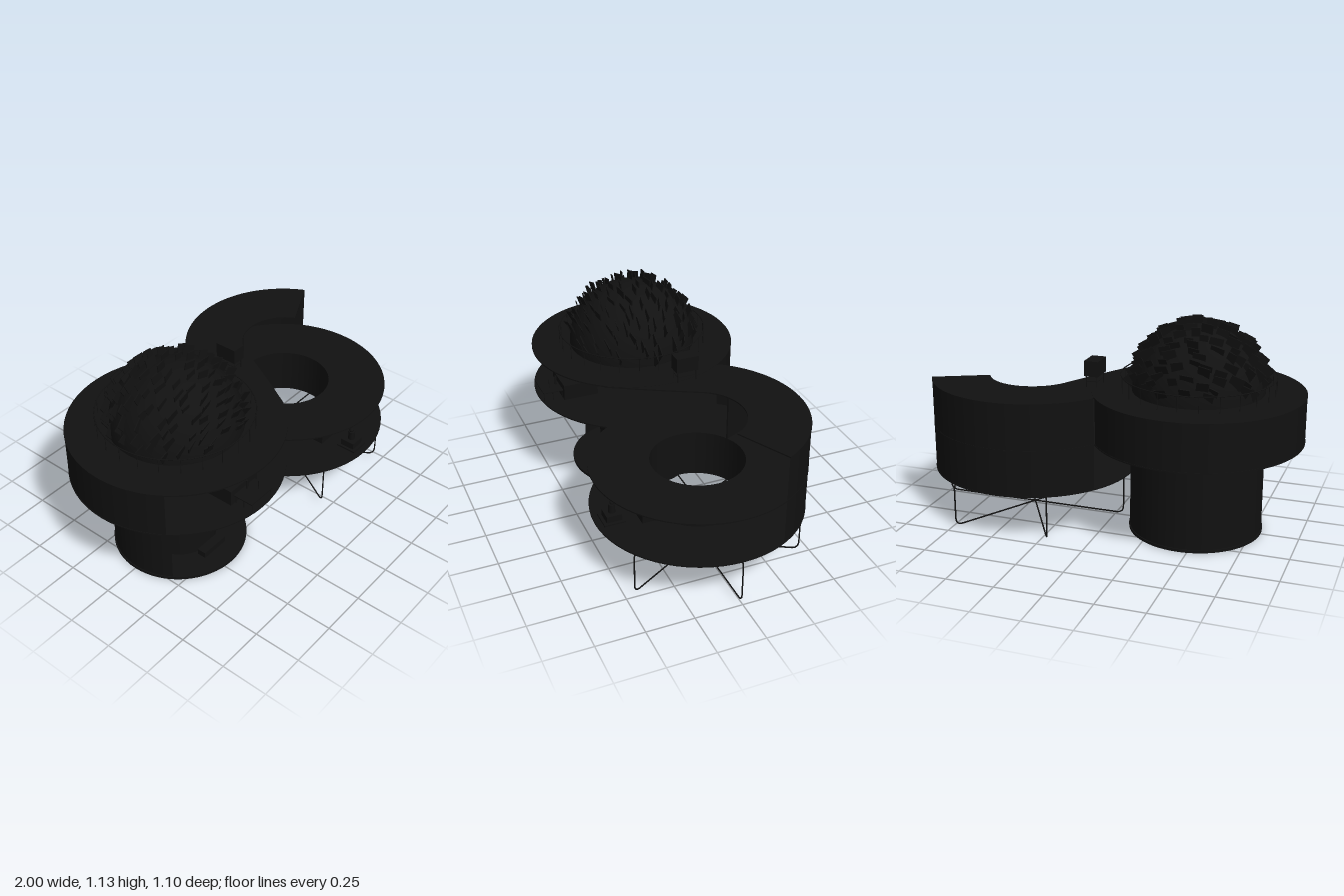
import * as THREE from 'three';

const dark = new THREE.MeshStandardMaterial({ color: 0x111111, side: THREE.DoubleSide });
const DEG = Math.PI / 180;
const R = 0.548, CX = 0.45, HOLE = 0.24;

export function createModel() {
  const model = new THREE.Group();

  function add(name, geometry, x = 0, y = 0, z = 0, parent = model) {
    const mesh = new THREE.Mesh(geometry, dark);
    mesh.name = name;
    mesh.position.set(x, y, z);
    parent.add(mesh);
    return mesh;
  }
  const box = (name, w, h, d, x, y, z, parent) =>
    add(name, new THREE.BoxGeometry(w, h, d), x, y, z, parent);
  const rod = (name, r, h, x, y, z, parent) =>
    add(name, new THREE.CylinderGeometry(r, r, h, 12), x, y, z, parent);

  // Flat slab from a plan outline (outline y points to the back), top at the given height
  function slab(name, shape, top, thick = 0.007) {
    const g = new THREE.ExtrudeGeometry(shape, { depth: thick, bevelEnabled: false, curveSegments: 32 });
    g.rotateX(-Math.PI / 2);
    return add(name, g, 0, top - thick, 0);
  }
  function disc(cx, r, hole) {
    const s = new THREE.Shape().absarc(cx, 0, r, 0, Math.PI * 2);
    if (hole) s.holes.push(new THREE.Path().absarc(cx, 0, hole, 0, Math.PI * 2, true));
    return s;
  }
  // Thin curved wall; angles in degrees from the front, turning towards +x
  function curvedWall(name, cx, r, y0, y1, a0 = 0, a1 = 360) {
    const g = new THREE.CylinderGeometry(r, r, y1 - y0, 32, 1, true, a0 * DEG, (a1 - a0) * DEG);
    return add(name, g, cx, (y0 + y1) / 2, 0);
  }

  // Floors
  slab('groundFloor', disc(-CX, 0.35), 0.015, 0.015);
  slab('lowerRingFloor', disc(CX, R, HOLE), 0.263);
  slab('middleRingFloor', disc(CX, R, HOLE), 0.505);
  slab('middleRoundFloor', disc(-CX, R), 0.505);

  // Roofs: full disc on one side, a swept ring sector on the other
  slab('roundRoof', disc(-CX, R), 0.748);
  const sweep = new THREE.Shape();
  sweep.absarc(CX, 0, R, 26 * DEG, 144 * DEG, false);
  sweep.lineTo(0, -0.32);
  sweep.quadraticCurveTo(0.13, -0.1, CX + HOLE * Math.cos(150 * DEG), HOLE * Math.sin(150 * DEG));
  sweep.absarc(CX, 0, HOLE, 150 * DEG, 26 * DEG, true);
  slab('sweptRoof', sweep, 0.747);

  // Walls, open towards the front
  curvedWall('ringBackWall', CX, R - 0.002, 0.257, 0.745, 116, 235);
  curvedWall('roundBackWall', -CX, R - 0.002, 0.499, 0.745, 125, 306);
  curvedWall('columnWall', -CX, 0.345, 0, 0.5, 55, 305);
  curvedWall('columnCore', -CX, 0.19, 0.01, 0.5);
  curvedWall('courtWall', CX, HOLE, 0.258, 0.5);
  const partition = box('partition', 0.008, 0.24, 0.29, 0.28, 0.62, -0.345);
  partition.rotation.y = 24 * DEG;

  // Three crossed rounded frames that carry the ring
  const w = 0.518, y0 = 0.012, y1 = 0.254, c = 0.04;
  const corners = [[-w, y0], [w, y0], [w, y1], [-w, y1]];
  const path = new THREE.CurvePath();
  const pts = [];
  corners.forEach(([x, y], i) => {
    const sx = Math.sign(x), sy = y === y0 ? -1 : 1;
    const alongX = new THREE.Vector3(x - sx * c, y, 0), alongY = new THREE.Vector3(x, y - sy * c, 0);
    const [a, b] = i % 2 ? [alongX, alongY] : [alongY, alongX];
    pts.push([a, new THREE.Vector3(x, y, 0), b]);
  });
  pts.forEach(([a, corner, b], i) => {
    path.add(new THREE.QuadraticBezierCurve3(a, corner, b));
    path.add(new THREE.LineCurve3(b, pts[(i + 1) % 4][0]));
  });
  const frame = new THREE.TubeGeometry(path, 160, 0.004, 6, true);
  for (let i = 0; i < 3; i++) add('legFrame', frame, 0.47, 0, 0).rotation.y = i * 60 * DEG;

  // Planted dome
  const domeR = 0.34, domeY = 0.745;
  add('dome', new THREE.SphereGeometry(domeR, 40, 16, 0, Math.PI * 2, 0, Math.PI / 2), -CX, domeY, 0);
  let seed = 7;
  const rand = () => (seed = (seed * 16807) % 2147483647) / 2147483647;
  const plants = new THREE.Group();
  plants.name = 'domePlants';
  model.add(plants);
  const count = 150;
  for (let i = 0; i < count; i++) {
    const up = 0.12 + 0.87 * (i + 0.5) / count;
    const a = i * 2.39996 + rand() * 0.3;
    const s = Math.sqrt(1 - up * up);
    const n = new THREE.Vector3(s * Math.cos(a), up, s * Math.sin(a));
    const leaf = box('leafPlate', 0.04 + rand() * 0.03, 0.05 + rand() * 0.05, 0.005,
      -CX + n.x * domeR, domeY + n.y * domeR, n.z * domeR, plants);
    leaf.rotation.set(n.z * 0.45 + (rand() - 0.5) * 0.15, (rand() - 0.5) * 0.5, -n.x * 0.7);
  }

  // Railing round the dome
  const railR = 0.395;
  add('domeRail', new THREE.TorusGeometry(railR, 0.003, 6, 48), -CX, 0.829, 0).rotation.x = Math.PI / 2;
  for (let i = 0; i < 24; i++) {
    const a = i * 15 * DEG;
    rod('railPost', 0.0018, 0.082, -CX + railR * Math.cos(a), 0.788, railR * Math.sin(a));
  }

  // Tank on a stand on the roof
  box('roofTank', 0.075, 0.08, 0.12, 0.078, 0.845, -0.09);
  for (const x of [0.05, 0.106]) for (const z of [-0.14, -0.04])
    rod('tankLeg', 0.002, 0.06, x, 0.775, z);
  box('tankBrace', 0.06, 0.003, 0.1, 0.078, 0.777, -0.09);

  // Terrace furniture on the middle floor
  box('terraceBench', 0.2, 0.085, 0.19, -0.45, 0.548, 0.335);
  box('tableTop', 0.16, 0.005, 0.11, -0.45, 0.556, 0.485);
  for (const x of [-0.52, -0.38]) for (const z of [0.435, 0.485, 0.535])
    rod('tableLeg', 0.002, 0.05, x, 0.53, z);
  rod('vase', 0.006, 0.05, -0.45, 0.583, 0.447);
  rod('thinStem', 0.0015, 0.055, -0.42, 0.583, 0.493);

  // Small sculpture and cabinet on the lower ring floor
  box('plinthFoot', 0.11, 0.008, 0.11, CX, 0.268, 0.46);
  box('plinth', 0.08, 0.036, 0.08, CX, 0.289, 0.458);
  rod('sculptureBody', 0.018, 0.05, CX, 0.33, 0.458);
  add('sculptureHead', new THREE.SphereGeometry(0.013, 12, 8), CX, 0.362, 0.455);
  box('cabinet', 0.2, 0.205, 0.085, CX, 0.369, 0.293);

  // Low seat by the column door
  box('doorStep', 0.16, 0.035, 0.05, -CX, 0.03, 0.215);

  return model;
}
